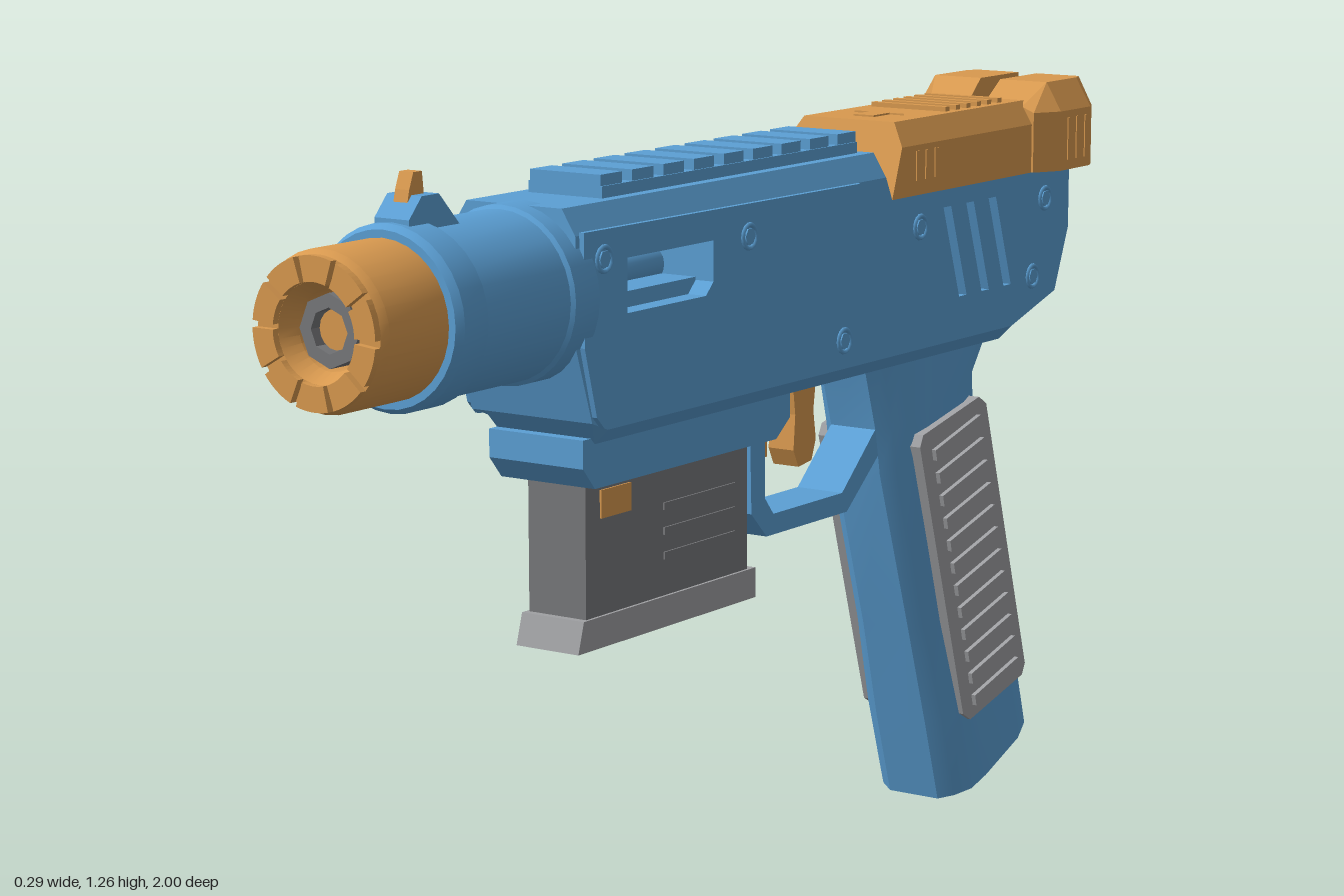
import * as THREE from 'three';
import { toCreasedNormals } from 'three/addons/utils/BufferGeometryUtils.js';

const mat = (name, color) => {
  const m = new THREE.MeshStandardMaterial({ color });
  m.name = name;
  return m;
};

export function createModel() {
  const model = new THREE.Group();
  model.name = 'toyBlaster';
  const blue = mat('blue plastic', 0x5b9fd4);
  const orange = mat('orange plastic', 0xd8994f);
  const darkGrey = mat('dark grey', 0x77787b);
  const lightGrey = mat('light grey', 0x9fa0a3);

  const add = (name, geo, material, pos) => {
    const mesh = new THREE.Mesh(geo, material);
    mesh.name = name;
    if (pos) mesh.position.set(...pos);
    model.add(mesh);
    return mesh;
  };
  const vecs = pts => pts.map(p => new THREE.Vector2(...p));
  const reshape = (geo, rule) => {
    const p = geo.attributes.position, v = new THREE.Vector3();
    for (let i = 0; i < p.count; i++) {
      rule(v.fromBufferAttribute(p, i));
      p.setXYZ(i, v.x, v.y, v.z);
    }
    geo.computeVertexNormals();
    return geo;
  };
  // Side outline in (z, y), extruded across x from x0 to x1
  const slab = (pts, x0, x1, holes = []) => {
    const shape = new THREE.Shape(vecs(pts));
    shape.holes = holes.map(h => new THREE.Path(vecs(h)));
    const geo = new THREE.ExtrudeGeometry(shape, { depth: x1 - x0, bevelEnabled: false });
    return geo.rotateY(-Math.PI / 2).translate(x1, 0, 0);
  };
  const box = (name, w, h, d, material, pos) => add(name, new THREE.BoxGeometry(w, h, d), material, pos);
  // Turned part round the barrel axis; profile in (radius, z)
  const turned = (name, pts, material, y = 1.055, segs = 32) =>
    add(name, toCreasedNormals(new THREE.LatheGeometry(vecs(pts), segs).rotateX(Math.PI / 2), 0.5), material, [0, y, 0]);
  const sides = [-1, 1];
  const sideSlab = (pts, s, a, b, holes) => s > 0 ? slab(pts, a, b, holes) : slab(pts, -b, -a, holes);

  // Receiver: core plus slotted side shells with chamfered edges
  const outline = [[0.53, 1.19], [-0.34, 1.19], [-0.36, 1.11], [-0.955, 1.11], [-0.955, 1], [-0.91, 0.89],
    [-0.76, 0.82], [0.45, 0.82], [0.49, 0.86], [0.53, 0.98]];
  const port = [[0.41, 1.105], [0.18, 1.105], [0.18, 1.04], [0.2, 1.02], [0.41, 1.02]];
  const corePort = [[0.41, 1.105], [0.18, 1.105], [0.18, 1.045], [0.41, 1.045]];
  const vents = [0, 1, 2].map(i => [[-0.525, 1.08], [-0.55, 1.08], [-0.605, 0.92], [-0.58, 0.92]]
    .map(([z, y]) => [z - i * 0.075, y]));
  add('receiverCore', slab(outline, -0.09, 0.09, [corePort]), blue);
  const plate = [[0.52, 1.155], [-0.25, 1.15], [-0.285, 1.11], [-0.285, 0.89], [-0.25, 0.85],
    [0.47, 0.85], [0.49, 0.87], [0.52, 0.98]];
  for (const s of sides) {
    add('receiverShell', reshape(sideSlab(outline, s, 0.09, 0.115, [port, ...vents]), v => {
      if (Math.abs(v.x) > 0.1) v.y = Math.min(1.15, Math.max(0.845, v.y));
    }), blue);
    add('sidePlate', sideSlab(plate, s, 0.115, 0.124, [port]), blue);
  }
  // Screws on one side
  for (const [z, y] of [[0.47, 1.11], [0.08, 1.1], [-0.2, 0.895], [-0.45, 1.055], [-0.87, 1.06], [-0.83, 0.925]]) {
    const x = z > -0.3 ? 0.124 : 0.115;
    const ring = add('screwRing', new THREE.TorusGeometry(0.019, 0.004, 6, 14), blue, [x, y, z]);
    ring.rotation.y = Math.PI / 2;
    const head = add('screwHead', new THREE.CylinderGeometry(0.014, 0.014, 0.006, 6), blue, [x, y, z]);
    head.rotation.z = Math.PI / 2;
  }
  // Dart in the ejection port
  turned('chamberedDart', [[0, 0.18], [0.03, 0.18], [0.03, 0.34], [0, 0.34]], blue, 1.06, 16);
  turned('dartTip', [[0, 0.34], [0.033, 0.34], [0.033, 0.405], [0, 0.41]], orange, 1.06, 16);

  // Barrel and muzzle
  turned('barrel', [[0, 0.5], [0.138, 0.5], [0.138, 0.56], [0.132, 0.565], [0.132, 0.765], [0.14, 0.775],
    [0.14, 0.83], [0.132, 0.842], [0.1, 0.842]], blue);
  turned('muzzle', [[0.1, 0.835], [0.12, 0.835], [0.12, 0.975], [0.113, 0.988], [0.075, 0.988], [0.06, 0.96],
    [0.06, 0.9], [0, 0.9]], orange);
  for (let i = 0; i < 10; i++) {
    const a = i * Math.PI / 5, tooth = new THREE.Shape();
    tooth.absarc(0, 0, 0.113, a, a + 0.53, false);
    tooth.absarc(0, 0, 0.075, a + 0.53, a, true);
    add('muzzleTooth', new THREE.ExtrudeGeometry(tooth, { depth: 0.014, bevelEnabled: false, curveSegments: 4 }), orange, [0, 1.055, 0.986]);
  }
  turned('boreRing', [[0.055, 0.9], [0.055, 0.965], [0.034, 0.965], [0.034, 0.9]], darkGrey, 1.055, 8);
  turned('borePin', [[0.03, 0.9], [0.03, 0.95], [0, 0.95]], orange, 1.055, 16);

  // Front sight
  add('sightBase', slab([[0.82, 1.18], [0.82, 1.2], [0.79, 1.232], [0.75, 1.232], [0.7, 1.18]], -0.032, 0.032), blue);
  add('sightPost', slab([[0.8, 1.22], [0.795, 1.24], [0.785, 1.265], [0.765, 1.265], [0.76, 1.22]], -0.013, 0.013), orange);

  // Top rail
  box('railBase', 0.14, 0.025, 0.72, blue, [0, 1.196, 0.04]);
  for (let i = 0; i < 9; i++) {
    box('railRib', 0.134, 0.02, 0.056, blue, [0, 1.216, 0.372 - i * 0.083]);
  }

  // Slide: chamfered section with a raked front
  const slideSection = [[-0.115, 1.11], [0.115, 1.11], [0.115, 1.195], [0.09, 1.235], [-0.09, 1.235], [-0.115, 1.195]];
  add('slide', reshape(new THREE.ExtrudeGeometry(new THREE.Shape(vecs(slideSection)), { depth: 0.49, bevelEnabled: false })
    .translate(0, 0, -0.85), v => { if (v.z > -0.5) v.z -= (v.y - 1.11) * 0.35; }), orange);
  for (let i = 0; i < 6; i++) box('slideRib', 0.15, 0.014, 0.014, orange, [0, 1.236, -0.6 - i * 0.035]);
  const arrow = new THREE.Shape(vecs([[-0.02, 0], [0.02, 0], [0.02, 0.05], [0.05, 0.05], [0, 0.1], [-0.05, 0.05], [-0.02, 0.05]]));
  add('slideArrow', new THREE.ExtrudeGeometry(arrow, { depth: 0.006, bevelEnabled: false }).rotateX(-Math.PI / 2), orange, [0, 1.232, -0.45]);

  // Rear cocking handle with sight groove
  const half = [[0.145, 1.11], [0.145, 1.215], [0.115, 1.265], [0.02, 1.265], [0.02, 1.225]];
  const handleSection = [...half, ...half.map(([x, y]) => [-x, y]).reverse()];
  const layerZ = [-1, -0.975, -0.87, -0.82], layerX = [0.92, 1, 1, 0.82];
  add('cockingHandle', reshape(new THREE.ExtrudeGeometry(new THREE.Shape(vecs(handleSection)),
    { depth: 3, steps: 3, bevelEnabled: false }), v => {
    const k = Math.round(v.z);
    v.x *= layerX[k];
    v.z = layerZ[k];
    if (k === 3) v.y = Math.min(v.y, 1.225);
  }), orange);
  for (const s of sides) {
    for (let i = 0; i < 3; i++) {
      box('handleRidge', 0.006, 0.075, 0.012, orange, [s * 0.144, 1.165, -0.9 - i * 0.03]);
      box('slideRidge', 0.006, 0.05, 0.012, orange, [s * 0.114, 1.16, -0.44 - i * 0.03]);
      box('handleBackRidge', 0.08, 0.01, 0.004, orange, [s * 0.075, 1.14 + i * 0.03, -0.999]);
    }
  }

  // Rear cap
  turned('rearCap', [[0, -0.975], [0.03, -0.975], [0.034, -0.965], [0.05, -0.965], [0.055, -0.975],
    [0.068, -0.97], [0.072, -0.93], [0, -0.93]], lightGrey, 1.01, 20);

  // Magazine well, magazine and release
  add('magazineWell', slab([[0.48, 0.83], [0.48, 0.785], [0.45, 0.75], [-0.05, 0.75], [-0.09, 0.78], [-0.09, 0.83]], -0.09, 0.09), blue);
  box('magazine', 0.11, 0.25, 0.445, darkGrey, [0, 0.64, 0.205]);
  add('magazineBase', slab([[0.44, 0.535], [0.455, 0.485], [-0.035, 0.485], [-0.035, 0.535]], -0.06, 0.06), lightGrey);
  for (const s of sides) {
    for (const y of [0.6, 0.64, 0.68]) box('magazineRib', 0.006, 0.012, 0.2, darkGrey, [s * 0.055, y, 0.12]);
  }
  box('magazineDart', 0.012, 0.045, 0.08, orange, [0.052, 0.712, 0.35]);
  box('magazineRelease', 0.05, 0.075, 0.03, orange, [0, 0.74, -0.105]);

  // Trigger guard and trigger
  add('triggerGuard', slab([[-0.04, 0.78], [-0.045, 0.62], [-0.09, 0.575], [-0.335, 0.575], [-0.45, 0.67], [-0.45, 0.72],
    [-0.42, 0.7], [-0.32, 0.61], [-0.11, 0.61], [-0.085, 0.64], [-0.085, 0.78]], -0.045, 0.045), blue);
  add('trigger', slab([[-0.195, 0.83], [-0.205, 0.76], [-0.2, 0.7], [-0.215, 0.67], [-0.255, 0.675], [-0.268, 0.71],
    [-0.26, 0.76], [-0.27, 0.83]], -0.025, 0.025), orange);

  // Grip: rounded cross-sections from front edge to back edge
  const gripLevels = [
    [-0.38, 0.84, -0.82, 0.87, 0.09], [-0.425, 0.7, -0.73, 0.78, 0.09], [-0.44, 0.62, -0.735, 0.7, 0.09],
    [-0.535, 0.33, -0.82, 0.42, 0.093], [-0.588, 0.15, -0.873, 0.25, 0.101], [-0.635, 0, -0.915, 0.11, 0.1]];
  const arc = [[0, 0.5], [0.06, 0.75], [0.15, 0.95], [0.3, 1], [0.7, 1], [0.86, 0.87], [0.96, 0.6], [1, 0.25]];
  const ring = [...arc, ...arc.map(([t, w]) => [t, -w]).reverse()];
  const n = ring.length, pos = [], idx = [];
  for (const [z0, y0, z1, y1, w] of gripLevels) {
    for (const [t, x] of ring) pos.push(x * w, y0 + (y1 - y0) * t, z0 + (z1 - z0) * t);
  }
  for (let k = 0; k < gripLevels.length - 1; k++) {
    for (let i = 0; i < n; i++) {
      const a = k * n + i, b = k * n + (i + 1) % n;
      idx.push(a, a + n, b, b, a + n, b + n);
    }
  }
  const last = (gripLevels.length - 1) * n;
  for (let i = 1; i < n - 1; i++) idx.push(last, last + i + 1, last + i);
  const grip = new THREE.BufferGeometry();
  grip.setAttribute('position', new THREE.Float32BufferAttribute(pos, 3));
  grip.setIndex(idx);
  add('grip', toCreasedNormals(grip, 0.6), blue);

  // Grip panels with ribs
  const panel = [[-0.475, 0.67], [-0.485, 0.69], [-0.67, 0.73], [-0.695, 0.715], [-0.845, 0.215], [-0.835, 0.195],
    [-0.655, 0.15], [-0.63, 0.165]];
  for (const s of sides) {
    add('gripPanel', sideSlab(panel, s, 0.07, 0.104), lightGrey);
    for (let i = 0; i < 12; i++) {
      const t = (i + 0.7) / 12.4;
      const rib = box('gripRib', 0.014, 0.02, 0.155, lightGrey, [s * 0.105, 0.7 - t * 0.525, -0.582 - t * 0.162]);
      rib.rotation.x = 0.26;
    }
  }
  return model;
}
